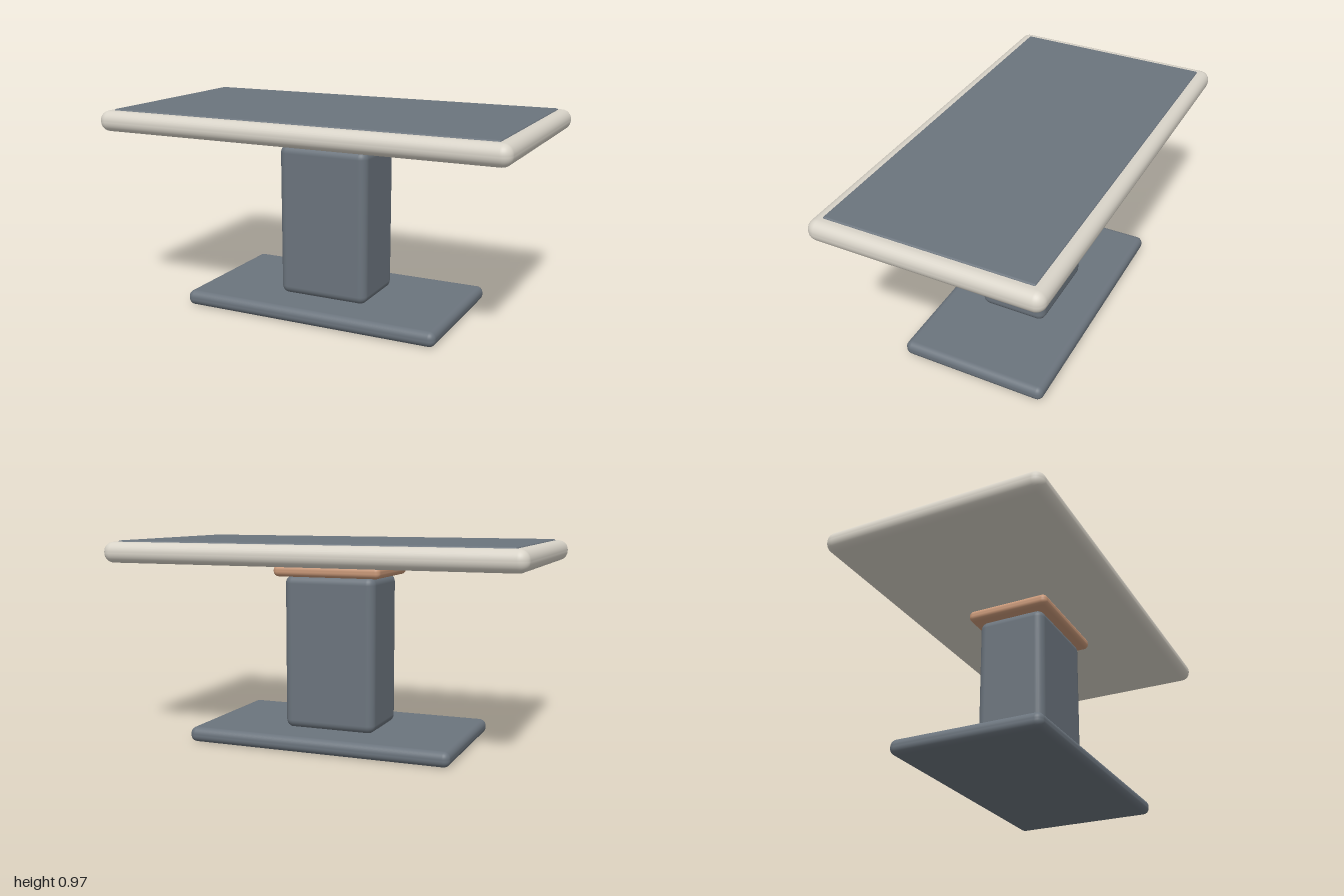
import * as THREE from 'three';
import { RoundedBoxGeometry } from 'three/addons/geometries/RoundedBoxGeometry.js';

const material = (name, color) => {
  const m = new THREE.MeshStandardMaterial({ color });
  m.name = name;
  return m;
};

export function createModel() {
  const slate = material('slate', 0x6b747d);
  const cream = material('cream', 0xd8d3c8);
  const copper = material('copper', 0xc99878);

  const table = new THREE.Group();
  table.name = 'pedestalTable';

  // Centred rounded slab spanning heights y0 to y1
  const slab = (name, mat, width, depth, y0, y1, radius) => {
    const mesh = new THREE.Mesh(new RoundedBoxGeometry(width, y1 - y0, depth, 4, radius), mat);
    mesh.name = name;
    mesh.position.y = (y0 + y1) / 2;
    table.add(mesh);
  };

  // Foot and column
  slab('base', slate, 1.296, 0.726, 0, 0.072, 0.032);
  slab('column', slate, 0.456, 0.34, 0.066, 0.808, 0.04);

  // Collar, sitting just below the tabletop
  slab('collar', copper, 0.536, 0.416, 0.802, 0.858, 0.024);

  // Tabletop with a slightly raised inlay
  slab('tabletop', cream, 2, 1.068, 0.868, 0.966, 0.046);
  slab('inlay', slate, 1.884, 0.956, 0.951, 0.972, 0.009);

  return table;
}
